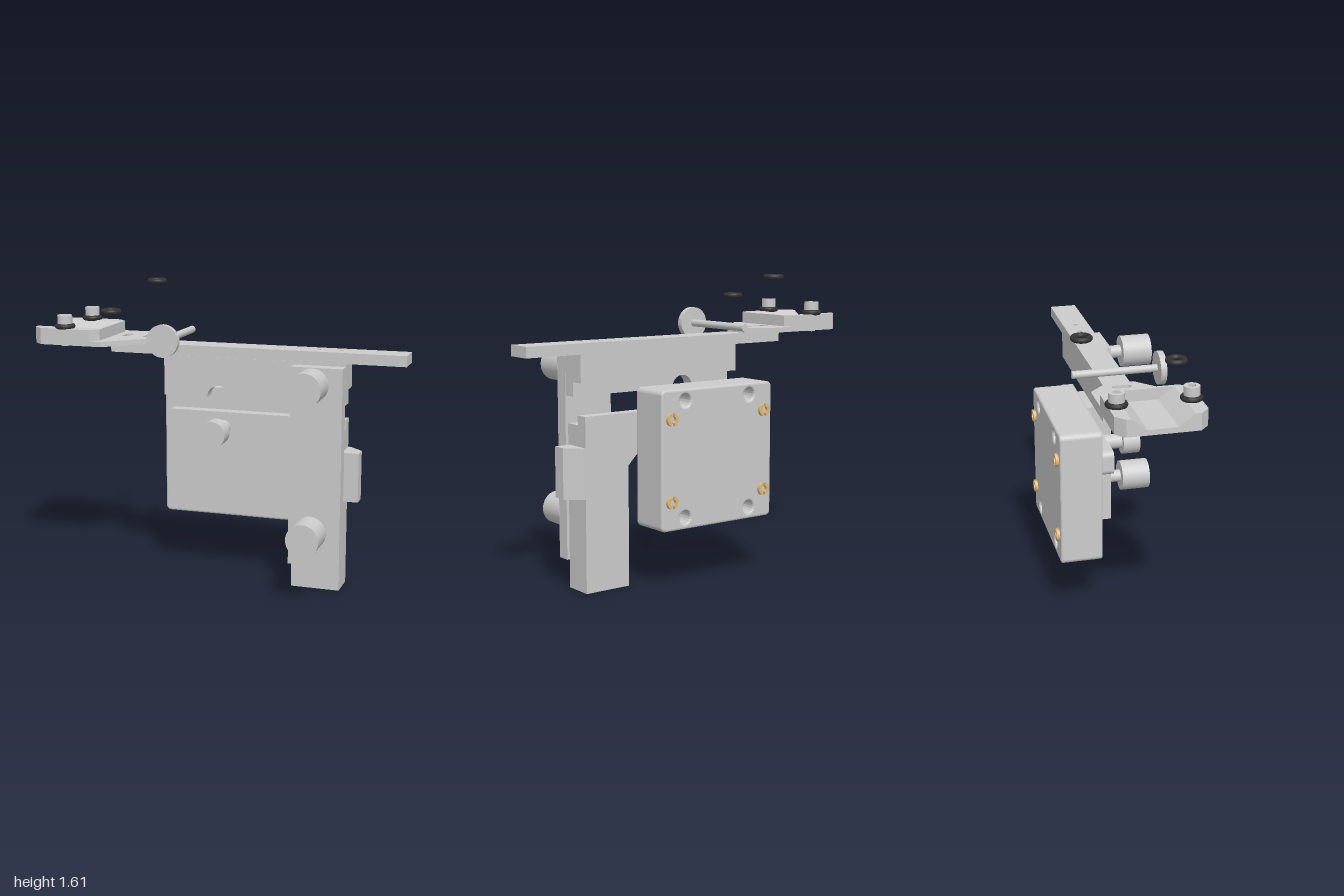
import * as THREE from 'three';

const grey = new THREE.MeshStandardMaterial({ color: 0xcccccc });
const rubber = new THREE.MeshStandardMaterial({ color: 0x333333 });
const brass = new THREE.MeshStandardMaterial({ color: 0xe0b878 });

export function createModel() {
  const model = new THREE.Group();

  const add = (name, geo, mat = grey) => {
    const m = new THREE.Mesh(geo, mat);
    m.name = name;
    model.add(m);
    return m;
  };
  const poly = (pts) => new THREE.Shape(pts.map(([a, b]) => new THREE.Vector2(a, b)));
  const extrude = (shape, depth, opts = {}) =>
    new THREE.ExtrudeGeometry(shape, { depth, bevelEnabled: false, curveSegments: 16, ...opts });
  const circle = (x, y, r) => new THREE.Path().absarc(x, y, r, 0, Math.PI * 2, true);
  // Box from its limits
  const box = (name, x0, x1, y0, y1, z0, z1) =>
    add(name, new THREE.BoxGeometry(x1 - x0, y1 - y0, z1 - z0)
      .translate((x0 + x1) / 2, (y0 + y1) / 2, (z0 + z1) / 2));
  // Shape in (x, y), extruded from z0 to z1
  const alongZ = (name, shape, z0, z1, mat) => add(name, extrude(shape, z1 - z0).translate(0, 0, z0), mat);
  // Shape in (x, -z), extruded from y0 to y1
  const alongY = (name, shape, y0, y1) =>
    add(name, extrude(shape, y1 - y0).rotateX(-Math.PI / 2).translate(0, y0, 0));
  // Round bar parallel to z
  const rod = (name, x, y, r, z0, z1) =>
    add(name, new THREE.CylinderGeometry(r, r, z1 - z0, 40).rotateX(Math.PI / 2)
      .translate(x, y, (z0 + z1) / 2));
  const flat = (pts) => poly(pts.map(([x, z]) => [x, -z]));

  // Horizontal beam: drilled top bar, deep body and a notched lower flange
  const bar = flat([[-0.63, 0.035], [1, 0.035], [1, -0.11], [-0.63, -0.11]]);
  for (const x of [-0.56, -0.44, 0.52, 0.64]) bar.holes.push(circle(x, 0.04, 0.013));
  alongY('topBar', bar, 1.235, 1.292);
  box('beamBody', -0.32, 0.685, 1.09, 1.235, -0.108, 0.037);
  const flange = new THREE.Shape();
  flange.moveTo(-0.32, 1.015).lineTo(-0.075, 1.015);
  flange.absarc(-0.01, 1.015, 0.065, Math.PI, 0, true);
  flange.lineTo(0.685, 1.015).lineTo(0.685, 1.09).lineTo(-0.32, 1.09);
  alongZ('beamFlange', flange, -0.033, 0.037);

  // Upright column with its front clamping plate
  box('column', 0.405, 0.67, 0, 0.87, -0.12, 0.04);
  box('columnPlate', 0.405, 0.685, 0.15, 1.22, 0.04, 0.113);
  alongY('sideClip', flat([[0.66, 0.025], [0.76, 0.025], [0.76, -0.05], [0.685, -0.122], [0.66, -0.122]]), 0.495, 0.76);

  // Bracket arm running from the column across the box
  const arm = new THREE.Shape();
  arm.moveTo(0.67, 0.92).lineTo(-0.31, 0.92);
  arm.absarc(-0.31, 0.89, 0.03, Math.PI / 2, Math.PI, false);
  arm.absarc(-0.31, 0.82, 0.03, Math.PI, Math.PI * 1.5, false);
  arm.lineTo(0.26, 0.79).lineTo(0.41, 0.64).lineTo(0.67, 0.64);
  alongZ('bracketArm', arm, -0.122, -0.052);

  // Thumb screws
  rod('armKnob', -0.01, 0.835, 0.072, 0.065, 0.157);
  rod('armKnobShaft', -0.01, 0.835, 0.04, -0.1, 0.065);
  for (const y of [0.36, 1.145]) {
    rod('columnKnob', 0.545, y, 0.088, 0.2, 0.365);
    rod('columnKnobShaft', 0.545, y, 0.036, 0.1, 0.2);
  }
  rod('pinHead', -0.262, 1.335, 0.087, 0.19, 0.222);
  rod('pin', -0.262, 1.335, 0.02, -0.255, 0.2);

  // Rounded box with blind holes in its back
  const b = 0.012, x0 = -0.375 + b, x1 = 0.355 - b, y0 = 0.317 + b, y1 = 1.05 - b, r = 0.015;
  const outline = () => {
    const s = new THREE.Shape();
    s.absarc(x1 - r, y1 - r, r, 0, Math.PI / 2);
    s.absarc(x0 + r, y1 - r, r, Math.PI / 2, Math.PI);
    s.absarc(x0 + r, y0 + r, r, Math.PI, Math.PI * 1.5);
    s.absarc(x1 - r, y0 + r, r, Math.PI * 1.5, Math.PI * 2);
    return s;
  };
  const bevel = { bevelEnabled: true, bevelSize: b, bevelThickness: b, bevelSegments: 3, curveSegments: 8 };
  const drilled = outline();
  for (const x of [-0.22, 0.205]) for (const y of [0.38, 0.99]) drilled.holes.push(circle(x, y, 0.035 + b));
  add('boxBack', extrude(drilled, 0.201, bevel).translate(0, 0, -0.345 + b));
  add('boxFront', extrude(outline(), 0.1, bevel).translate(0, 0, -0.22 - b));

  // Split brass inserts
  for (const x of [-0.315, 0.295]) for (const y of [0.47, 0.9]) {
    for (const side of [0, Math.PI]) {
      const half = new THREE.Shape();
      half.absarc(x, y, 0.034, side - 1.3, side + 1.3, false);
      half.absarc(x, y, 0.018, side + 1.1, side - 1.1, true);
      alongZ('brassInsert', half, -0.362, -0.34, brass);
    }
  }

  // Thin tapered plate with two slots
  const plate = flat([[-1, 0.2], [-0.95, 0.247], [-0.6, 0.247], [-0.38, 0.035], [-0.38, -0.11],
    [-0.475, -0.205], [-0.95, -0.205], [-1, -0.16]]);
  for (const x of [-0.56, -0.44]) {
    const slot = new THREE.Path();
    slot.absarc(x, 0.07, 0.02, 0, Math.PI, false);
    slot.absarc(x, 0.01, 0.02, Math.PI, Math.PI * 2, false);
    slot.closePath();
    plate.holes.push(slot);
  }
  alongY('taperedPlate', plate, 1.292, 1.32);

  // Raised rails, sloping to the channel, closed by an end wall
  for (const [edge, inner, floor] of [[0.247, 0.17, 0.09], [-0.205, -0.135, -0.06]]) {
    const d = Math.sign(edge) * 0.047;
    alongY('rail', flat(edge > 0
      ? [[-1, inner], [-1, edge - d], [-0.95, edge], [-0.67, edge], [-0.625, edge - d], [-0.625, inner]]
      : [[-0.625, inner], [-0.625, edge - d], [-0.67, edge], [-0.95, edge], [-1, edge - d], [-1, inner]]), 1.31, 1.38);
    const slope = poly([[-inner, 1.31], [-inner, 1.38], [-floor, 1.32], [-floor, 1.31]]);
    add('railSlope', extrude(slope, 0.355).rotateY(Math.PI / 2).translate(-1, 0, 0));
  }
  box('railEndWall', -0.645, -0.625, 1.31, 1.38, -0.135, 0.17);

  // Rubber rings: two loose and one under each socket screw
  const ring = (x, y, z) => add('rubberRing',
    new THREE.TorusGeometry(0.041, 0.0145, 14, 36).rotateX(Math.PI / 2).translate(x, y, z), rubber);
  ring(-0.465, 1.6, -0.248);
  ring(-0.555, 1.48, 0.205);
  for (const z of [-0.163, 0.203]) {
    ring(-0.825, 1.39, z);
    const head = new THREE.Shape().absarc(-0.825, -z, 0.04, 0, Math.PI * 2, false);
    const hex = [];
    for (let i = 0; i < 6; i++) {
      const a = -i * Math.PI / 3;
      hex.push(new THREE.Vector2(-0.825 + 0.022 * Math.cos(a), -z + 0.022 * Math.sin(a)));
    }
    head.holes.push(new THREE.Path(hex));
    alongY('screwHead', head, 1.4, 1.45);
    add('screwShank', new THREE.CylinderGeometry(0.024, 0.024, 0.13, 24).translate(-0.825, 1.35, z));
  }

  return model;
}
